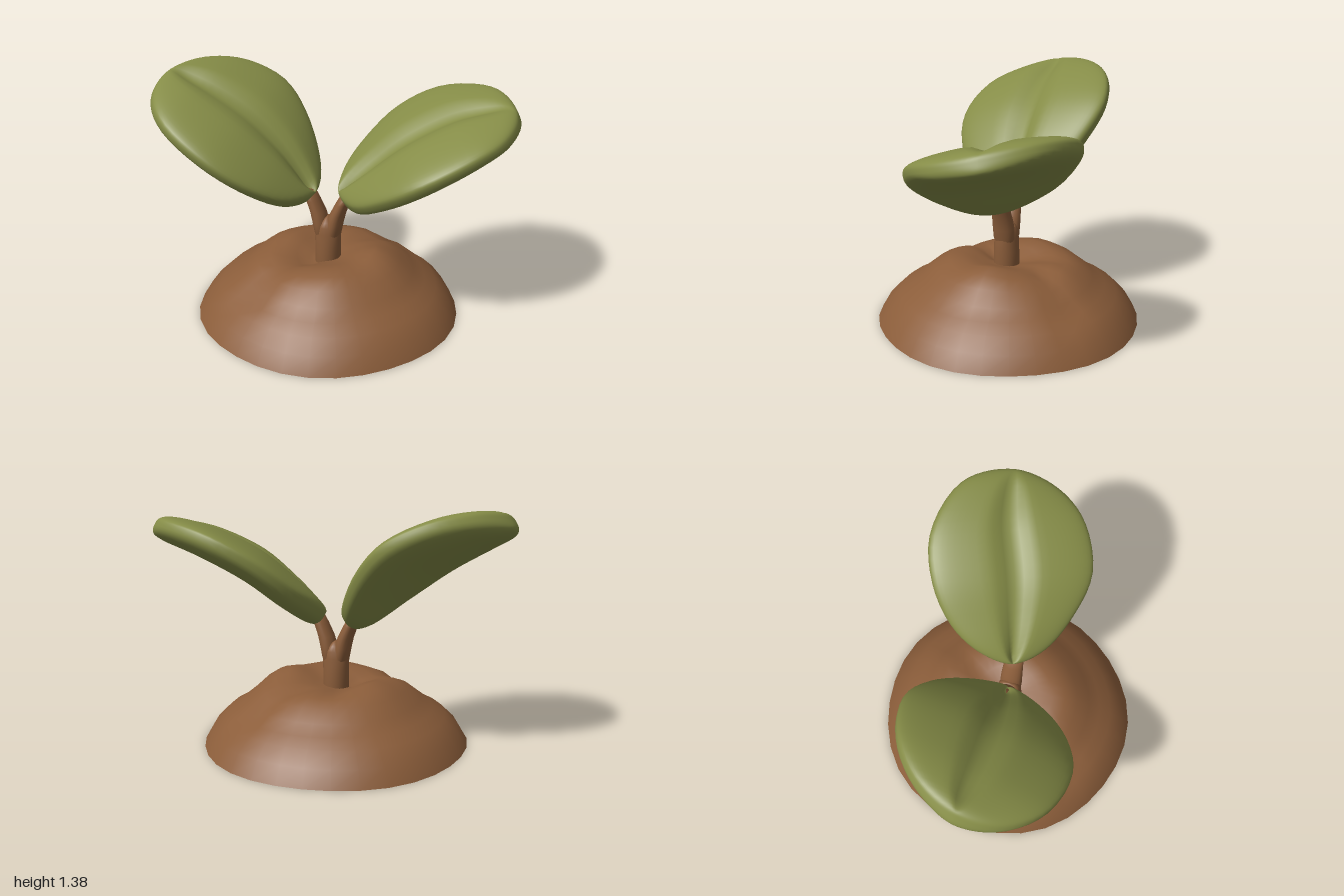
import * as THREE from 'three';

const V = (x, y, z) => new THREE.Vector3(x, y, z);
const { smoothstep, clamp } = THREE.MathUtils;

// Skin over closed rings that all have the same number of points
function loft(rings) {
  const n = rings[0].length, index = [];
  for (let i = 0; i < rings.length - 1; i++) {
    for (let j = 0; j < n; j++) {
      const a = i * n + j, b = i * n + (j + 1) % n;
      index.push(a, a + n, b, b, a + n, b + n);
    }
  }
  const geo = new THREE.BufferGeometry().setFromPoints(rings.flat());
  geo.setIndex(index);
  geo.computeVertexNormals();
  return geo;
}

// Upright tapered limb; each section is [x, y, z, radiusX, radiusZ]
function limb(sections, sides = 20) {
  return loft(sections.map(([x, y, z, rx, rz]) =>
    Array.from({ length: sides }, (_, j) => {
      const a = (j / sides) * Math.PI * 2;
      return V(x + rx * Math.cos(a), y, z + rz * Math.sin(a));
    })));
}

// Padded leaf: 12 outline points, base first and tip seventh
function leaf(outline) {
  const curve = new THREE.CatmullRomCurve3(outline.map(p => V(...p)), true);
  const axis = curve.getPoint(0.5).sub(curve.getPoint(0));
  const normal = curve.getPoint(0.25).sub(curve.getPoint(0.75)).cross(axis).normalize();
  const rings = [], rows = 40, sides = 56;
  for (let i = 0; i <= rows; i++) {
    const s = (1 - Math.cos((i / rows) * Math.PI)) / 2;
    const A = curve.getPoint(s / 2), B = curve.getPoint((1 - s / 2) % 1);
    const swell = Math.pow(Math.max(0, Math.sin(Math.PI * s)), 0.45);
    const grooveDepth = 0.05 * smoothstep(s, 0, 0.15) * (1 - smoothstep(s, 0.7, 0.97));
    const ring = [];
    for (let j = 0; j < sides; j++) {
      const a = (j / sides) * Math.PI * 2, u = Math.cos(a), v = Math.sin(a);
      const body = Math.pow(Math.abs(v), 0.75);
      // rounded underside, two padded lobes on top with a groove along the midrib
      const h = v < 0 ? -0.13 * body * swell
        : 0.077 * body * swell - grooveDepth * Math.exp(-((u / 0.16) ** 2));
      ring.push(B.clone().lerp(A, (u + 1) / 2).addScaledVector(normal, h));
    }
    rings.push(ring);
  }
  return loft(rings);
}

// Distance-based falloff from a line segment on the ground plane
function groove(x, z, x0, z0, x1, z1, width) {
  const dx = x1 - x0, dz = z1 - z0;
  const t = clamp(((x - x0) * dx + (z - z0) * dz) / (dx * dx + dz * dz), 0, 1);
  return Math.exp(-((x - x0 - t * dx) ** 2 + (z - z0 - t * dz) ** 2) / (width * width));
}

// Lumpy open-bottomed mound
function mound() {
  const profile = [[1, 0.008], [0.93, 0.1], [0.83, 0.175], [0.74, 0.215], [0.65, 0.268],
    [0.55, 0.328], [0.45, 0.358], [0.35, 0.368], [0.25, 0.36], [0.15, 0.345], [0.07, 0.335], [0, 0.33]];
  const sides = 32;
  return loft(profile.map(([t, y]) => Array.from({ length: sides }, (_, j) => {
    const a = (j / sides) * Math.PI * 2;
    const r = t * (0.759 - 0.012 * Math.cos(a) + 0.006 * Math.sin(5 * a + 1));
    const x = r * Math.cos(a), z = r * Math.sin(a), inner = Math.min(1, (1 - t) * 4);
    const bump = 0.045 * Math.exp(-((x - 0.27) ** 2 + z * z) / 0.02)
      + 0.028 * Math.exp(-((x + 0.27) ** 2 + (z + 0.08) ** 2) / 0.02)
      + 0.022 * Math.exp(-((x - 0.12) ** 2 + (z - 0.28) ** 2) / 0.02);
    const cut = 0.03 * groove(x, z, -0.1, 0.1, -0.35, 0.5, 0.07)
      + 0.02 * groove(x, z, -0.1, -0.25, -0.1, 0.1, 0.07)
      + 0.03 * groove(x, z, 0.12, -0.25, 0.38, -0.55, 0.07);
    return V(x, y + (bump - cut) * inner, z);
  })));
}

export function createModel() {
  const model = new THREE.Group();
  model.name = 'sprout';
  const brown = new THREE.MeshStandardMaterial({ name: 'earth brown', color: 0x8b5d3a, side: THREE.DoubleSide });
  const green = new THREE.MeshStandardMaterial({ name: 'leaf green', color: 0x858c47 });
  const add = (name, geo, mat) => {
    const mesh = new THREE.Mesh(geo, mat);
    mesh.name = name;
    model.add(mesh);
  };

  add('soilMound', mound(), brown);

  // Stem with a rounded root end, forking into two branches
  add('stem', limb([[-0.01, 0.2, 0.012, 0, 0], [-0.01, 0.205, 0.012, 0.03, 0.03],
    [-0.01, 0.235, 0.012, 0.06, 0.06], [-0.01, 0.29, 0.012, 0.074, 0.074], [-0.01, 0.42, 0.012, 0.074, 0.073],
    [-0.01, 0.5, 0.012, 0.077, 0.069], [-0.01, 0.54, 0.012, 0.066, 0.066],
    [-0.01, 0.57, 0.012, 0.038, 0.056], [-0.01, 0.59, 0.012, 0.014, 0.035], [-0.01, 0.594, 0.012, 0, 0]]), brown);
  for (const [name, side] of [['leftBranch', 1], ['rightBranch', -1]]) {
    add(name, limb([[0.03, 0.44, 0.03, 0.04], [0.036, 0.5, 0.042, 0.062], [0.044, 0.56, 0.046, 0.064],
      [0.06, 0.62, 0.044, 0.061], [0.09, 0.69, 0.039, 0.056], [0.12, 0.75, 0.036, 0.05], [0.125, 0.76, 0, 0]]
      .map(([x, y, rx, rz]) => [side * x - 0.01, y, 0.012, rx, rz])), brown);
  }

  // Leaves
  add('leftLeaf', leaf([[0.06, 0.735, 0.01],
    [0.19, 0.735, 0.16], [0.4, 0.845, 0.27], [0.62, 0.98, 0.31], [0.85, 1.11, 0.19], [0.97, 1.175, 0.0],
    [0.98, 1.235, -0.25],
    [0.8, 1.285, -0.49], [0.48, 1.23, -0.575], [0.25, 1.105, -0.5], [0.1, 0.94, -0.35], [0.04, 0.82, -0.17]]), green);
  add('rightLeaf', leaf([[-0.09, 0.72, 0.02],
    [-0.13, 0.8, -0.18], [-0.28, 1.045, -0.35], [-0.45, 1.22, -0.42], [-0.68, 1.335, -0.36], [-0.87, 1.37, -0.2],
    [-0.98, 1.34, 0.03],
    [-0.955, 1.28, 0.25], [-0.8, 1.19, 0.44], [-0.55, 1.04, 0.505], [-0.33, 0.875, 0.42], [-0.165, 0.745, 0.24]]), green);

  return model;
}
